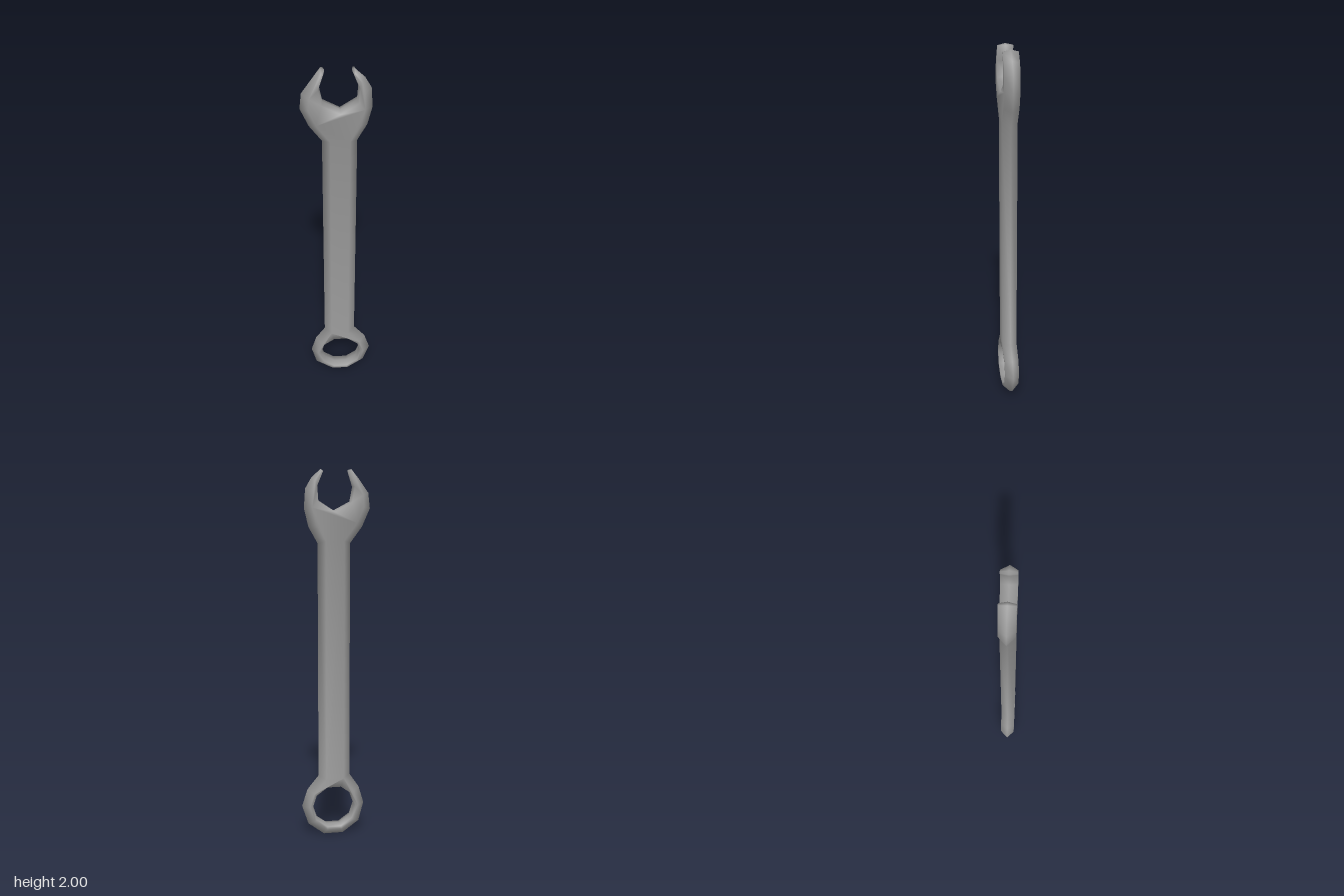
import * as THREE from 'three';

const HALF = 0.04;    // half thickness
const B = 0.038;      // wide bevel on outer edges
const S = 0.007;      // slight bevel on jaw and hole walls

// Outline counter-clockwise: x, y, bevel width at the corner
const OUTLINE = [
  // ring, right side
  [-0.045, 0, B], [0.062, 0, B], [0.15, 0.066, B], [0.185, 0.172, B], [0.155, 0.267, B],
  // shaft and right jaw
  [0.092, 0.345, B], [0.092, 1.62, B], [0.14, 1.705, B], [0.163, 1.80, B], [0.156, 1.90, 0.034],
  [0.124, 1.955, 0.02], [0.075, 2.0, 0.008],
  // mouth
  [0.062, 1.99, 0.004], [0.092, 1.915, S], [0.087, 1.84, S], [0.008, 1.79, S],
  [-0.077, 1.835, S], [-0.092, 1.91, S], [-0.066, 1.995, 0.006],
  // left jaw, shaft and ring
  [-0.087, 2.0, 0.008], [-0.128, 1.95, 0.018], [-0.178, 1.88, 0.036], [-0.187, 1.80, B],
  [-0.145, 1.705, B], [-0.082, 1.62, B], [-0.082, 0.345, B], [-0.135, 0.267, B],
  [-0.163, 0.172, B], [-0.135, 0.066, B],
];

// Ten-sided ring hole, clockwise
const HOLE = Array.from({ length: 10 }, (_, i) => {
  const a = -i * Math.PI / 5;
  return [0.01 + 0.114 * Math.cos(a), 0.17 + 0.114 * Math.sin(a), S];
});

const range = (from, to) => Array.from({ length: to - from + 1 }, (_, i) => from + i);

// Flat faces as corner numbers, with an optional hole
const FACES = [
  { edge: [...range(0, 5), ...range(25, 28)], hole: range(29, 38) },   // ring
  { edge: [5, 6, 24, 25], hole: [] },                                  // shaft
  { edge: range(6, 24), hole: [] },                                    // open jaw
];

// For each corner: the ridge point, the bevelled point and the outward direction
function corners(loop) {
  const n = loop.length;
  const points = loop.map(([x, y]) => new THREE.Vector2(x, y));
  const inward = points.map((p, i) => {
    const d = points[(i + 1) % n].clone().sub(p).normalize();
    return new THREE.Vector2(-d.y, d.x);
  });
  return points.map((ridge, i) => {
    const m = inward[i].clone().add(inward[(i + n - 1) % n]).normalize();
    const bevel = loop[i][2];
    const flat = ridge.clone().addScaledVector(m, bevel / m.dot(inward[i]));
    return { ridge, flat, bevel, out: m.negate() };
  });
}

function wrenchGeometry() {
  const position = [], normal = [], index = [];
  const all = [...corners(OUTLINE), ...corners(HOLE)];
  const total = all.length;

  // Three layers with smooth normals: back face, middle ridge, front face
  for (const side of [-1, 0, 1]) {
    for (const { ridge, flat, bevel, out } of all) {
      const p = side ? flat : ridge;
      position.push(p.x, p.y, side * HALF);
      const v = new THREE.Vector3(out.x * HALF, out.y * HALF, side * bevel).normalize();
      v.z += side;
      normal.push(...v.normalize().toArray());
    }
  }

  // Bevelled walls
  for (const [start, n] of [[0, OUTLINE.length], [OUTLINE.length, HOLE.length]]) {
    for (const layer of [0, total]) {
      for (let i = 0; i < n; i++) {
        const a = layer + start + i;
        const b = layer + start + (i + 1) % n;
        index.push(a, b, b + total, a, b + total, a + total);
      }
    }
  }

  // Front and back faces
  for (const { edge, hole } of FACES) {
    const ids = [...edge, ...hole];
    const at = (i) => all[i].flat;
    const holes = hole.length ? [hole.map(at)] : [];
    for (const triangle of THREE.ShapeUtils.triangulateShape(edge.map(at), holes)) {
      const [a, b, c] = triangle.map((i) => ids[i]);
      const turn = at(b).clone().sub(at(a)).cross(at(c).clone().sub(at(a)));
      const [u, v] = turn > 0 ? [b, c] : [c, b];
      index.push(a + 2 * total, u + 2 * total, v + 2 * total, a, v, u);
    }
  }

  const geometry = new THREE.BufferGeometry();
  geometry.setAttribute('position', new THREE.Float32BufferAttribute(position, 3));
  geometry.setAttribute('normal', new THREE.Float32BufferAttribute(normal, 3));
  geometry.setIndex(index);
  return geometry;
}

export function createModel() {
  const group = new THREE.Group();
  group.name = 'combinationWrench';
  const wrench = new THREE.Mesh(wrenchGeometry(), new THREE.MeshStandardMaterial({ color: 0x999999 }));
  wrench.name = 'wrenchBody';
  group.add(wrench);
  return group;
}
